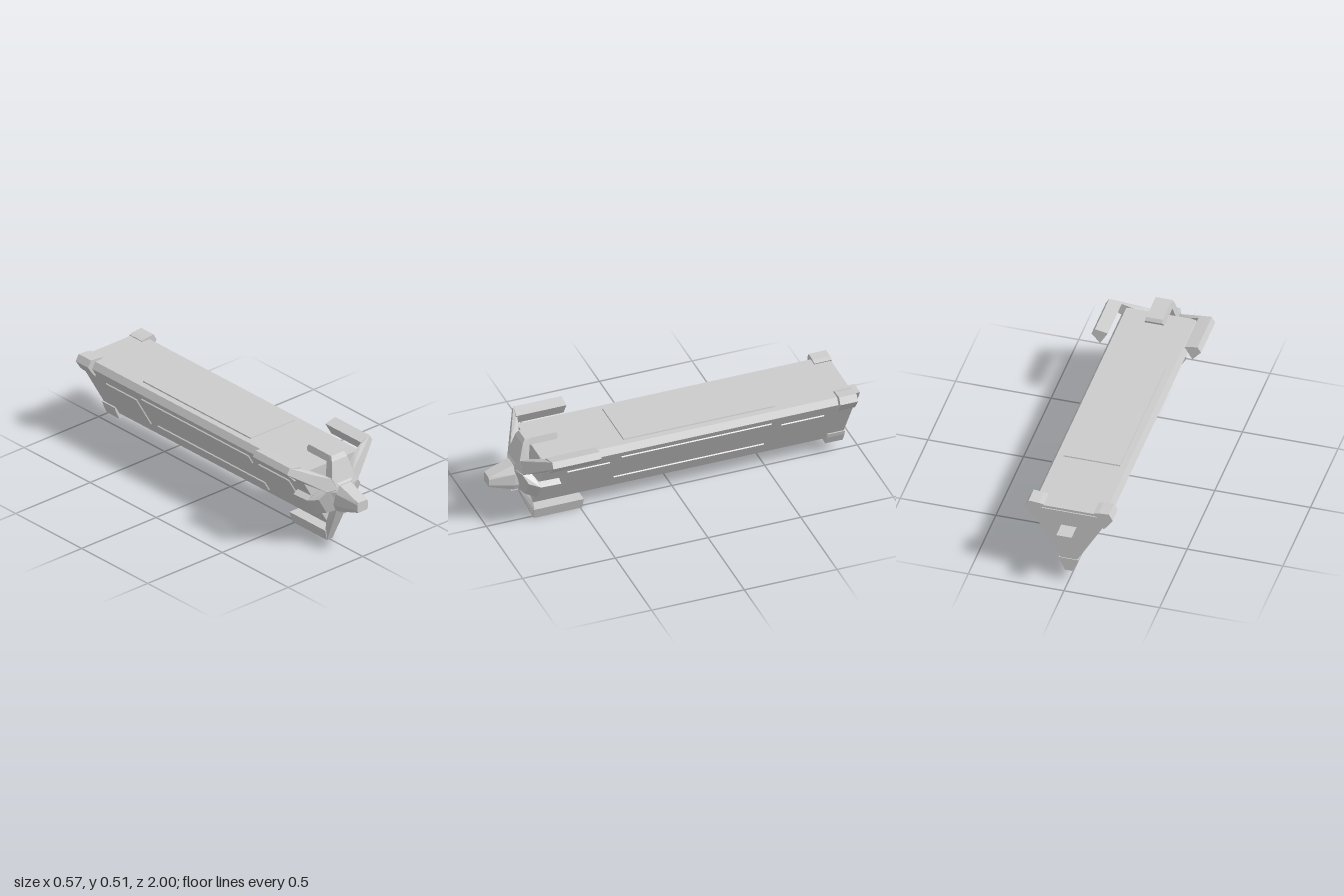
import * as THREE from 'three';
import { ConvexGeometry } from 'three/addons/geometries/ConvexGeometry.js';

const material = new THREE.MeshStandardMaterial({ color: 0xcccccc, flatShading: true });
const AXIS_Y = 0.32; // height of the long axis

// Faceted convex solid around a set of corners
function hull(parent, name, corners) {
  const mesh = new THREE.Mesh(new ConvexGeometry(corners.map((c) => new THREE.Vector3(...c))), material);
  mesh.name = name;
  parent.add(mesh);
  return mesh;
}

// Prism along z from a convex outline
function prism(parent, name, outline, z0, z1) {
  return hull(parent, name, outline.flatMap(([x, y]) => [[x, y, z0], [x, y, z1]]));
}

// Solid mirrored in x, from [half width, y, z] points
function mirrored(parent, name, points) {
  return hull(parent, name, points.flatMap(([w, y, z]) => [[w, y, z], [-w, y, z]]));
}

// Group whose local +y points outward from the axis
function sector(parent, name, turn) {
  const g = new THREE.Group();
  g.name = name;
  g.rotation.z = turn * Math.PI / 180;
  parent.add(g);
  return g;
}

const polar = (r, deg) => [r * Math.cos(deg * Math.PI / 180), r * Math.sin(deg * Math.PI / 180)];

// Raised panel with bevelled rim on a face lying at distance d
function panel(parent, name, x0, x1, z0, z1, d) {
  const b = 0.003, h = 0.005;
  hull(parent, name, [
    [x0, d - 0.01, z0], [x1, d - 0.01, z0], [x1, d - 0.01, z1], [x0, d - 0.01, z1],
    [x0 + b, d + h, z0 + b], [x1 - b, d + h, z0 + b], [x1 - b, d + h, z1 - b], [x0 + b, d + h, z1 - b],
  ]);
}

export function createModel() {
  const model = new THREE.Group();
  model.name = 'triangularVessel';
  const core = new THREE.Group();
  core.name = 'core';
  core.position.y = AXIS_Y;
  model.add(core);

  // Triangular body with blunted corners
  const bodyOutline = [];
  for (const deg of [30, 150, 270]) {
    const a = deg * Math.PI / 180, d = 0.222, w = 0.02;
    for (const s of [-w, w]) bodyOutline.push([d * Math.cos(a) - s * Math.sin(a), d * Math.sin(a) + s * Math.cos(a)]);
  }
  prism(core, 'body', bodyOutline, -0.91, 0.765);

  // Triangular shaft, showing behind the star and at the stern
  prism(core, 'shaft', [[-0.04, 0.025], [0.04, 0.025], [0, -0.045]], -1, 0.84);

  // Plate on the stern
  prism(core, 'sternPlate', [[-0.15, 0.115], [0.15, 0.115], [0.115, 0.06], [-0.115, 0.06]], -0.916, -0.9);

  // Hub of the front star
  const notches = [49, 131, 169, 251, 289, 371];
  hull(core, 'hub', notches.flatMap((deg) => [
    [...polar(0.09, deg), 0.79], [...polar(0.111, deg), 0.805],
    [...polar(0.111, deg), 0.843], [...polar(0.06, deg), 0.868],
  ]));

  // Tapered nose
  mirrored(core, 'nose', [
    [0.036, 0.042, 0.87], [0.06, 0, 0.87], [0.06, -0.065, 0.87], [0.045, -0.1, 0.87],
    [0.036, 0.042, 0.84], [0.06, 0, 0.84], [0.06, -0.065, 0.84], [0.045, -0.1, 0.84],
    [0.03, -0.006, 1], [0.035, -0.018, 1], [0.035, -0.05, 1], [0.03, -0.062, 1],
  ]);
  mirrored(core, 'noseChin', [
    [0.015, -0.09, 0.885], [0.025, -0.12, 0.875], [0.015, -0.09, 0.82], [0.025, -0.12, 0.82],
  ]);

  // Three long legs with rearward shoes, and caps on the stern corners
  for (const turn of [-60, 60, 180]) {
    const g = sector(core, 'corner', turn);
    mirrored(g, 'legArm', [
      [0.036, 0.1, 0.845], [0.036, 0.1, 0.8],
      [0.036, 0.2, 0.765], [0.024, 0.2, 0.803],
      [0.018, 0.32, 0.75], [0.03, 0.27, 0.75],
    ]);
    mirrored(g, 'legShoe', [
      [0.04, 0.255, 0.76], [0.018, 0.32, 0.75],
      [0.04, 0.255, 0.49], [0.018, 0.32, 0.49],
    ]);
    mirrored(g, 'sternCap', [
      [0.052, 0.18, -0.914], [0.044, 0.205, -0.914], [0.02, 0.254, -0.914],
      [0.052, 0.18, -0.82], [0.044, 0.205, -0.82], [0.02, 0.254, -0.82],
    ]);
  }

  // Three short fins hooking back over the faces; the top one stands taller
  for (const turn of [0, 120, -120]) {
    const g = sector(core, 'face', turn);
    const top = turn === 0;
    if (top) {
      mirrored(g, 'finArm', [
        [0.055, 0.04, 0.866], [0.071, 0.08, 0.848], [0.071, 0.08, 0.8],
        [0.052, 0.15, 0.79], [0.052, 0.165, 0.825], [0.043, 0.19, 0.81], [0.043, 0.19, 0.78],
      ]);
      mirrored(g, 'finHook', [
        [0.052, 0.155, 0.82], [0.043, 0.19, 0.81],
        [0.052, 0.155, 0.64], [0.043, 0.19, 0.64], [0.046, 0.172, 0.63],
      ]);
      panel(g, 'topPanel', -0.15, 0.15, -0.5, 0.32, 0.13);
    } else {
      mirrored(g, 'finArm', [
        [0.055, 0.04, 0.866], [0.071, 0.08, 0.848], [0.071, 0.08, 0.8],
        [0.053, 0.131, 0.825], [0.053, 0.131, 0.77], [0.053, 0.163, 0.77],
      ]);
      mirrored(g, 'finHook', [
        [0.053, 0.128, 0.78], [0.053, 0.163, 0.77],
        [0.046, 0.128, 0.66], [0.046, 0.163, 0.66],
      ]);
      // Square hatches and long strips
      panel(g, 'frontHatch', -0.104, 0.104, 0.395, 0.63, 0.13);
      panel(g, 'rearHatch', -0.104, 0.104, -0.76, -0.525, 0.13);
      for (const s of [-1, 1]) {
        panel(g, 'longStrip', Math.min(s * 0.078, s * 0.142), Math.max(s * 0.078, s * 0.142), -0.47, 0.345, 0.13);
      }
    }
  }
  return model;
}
